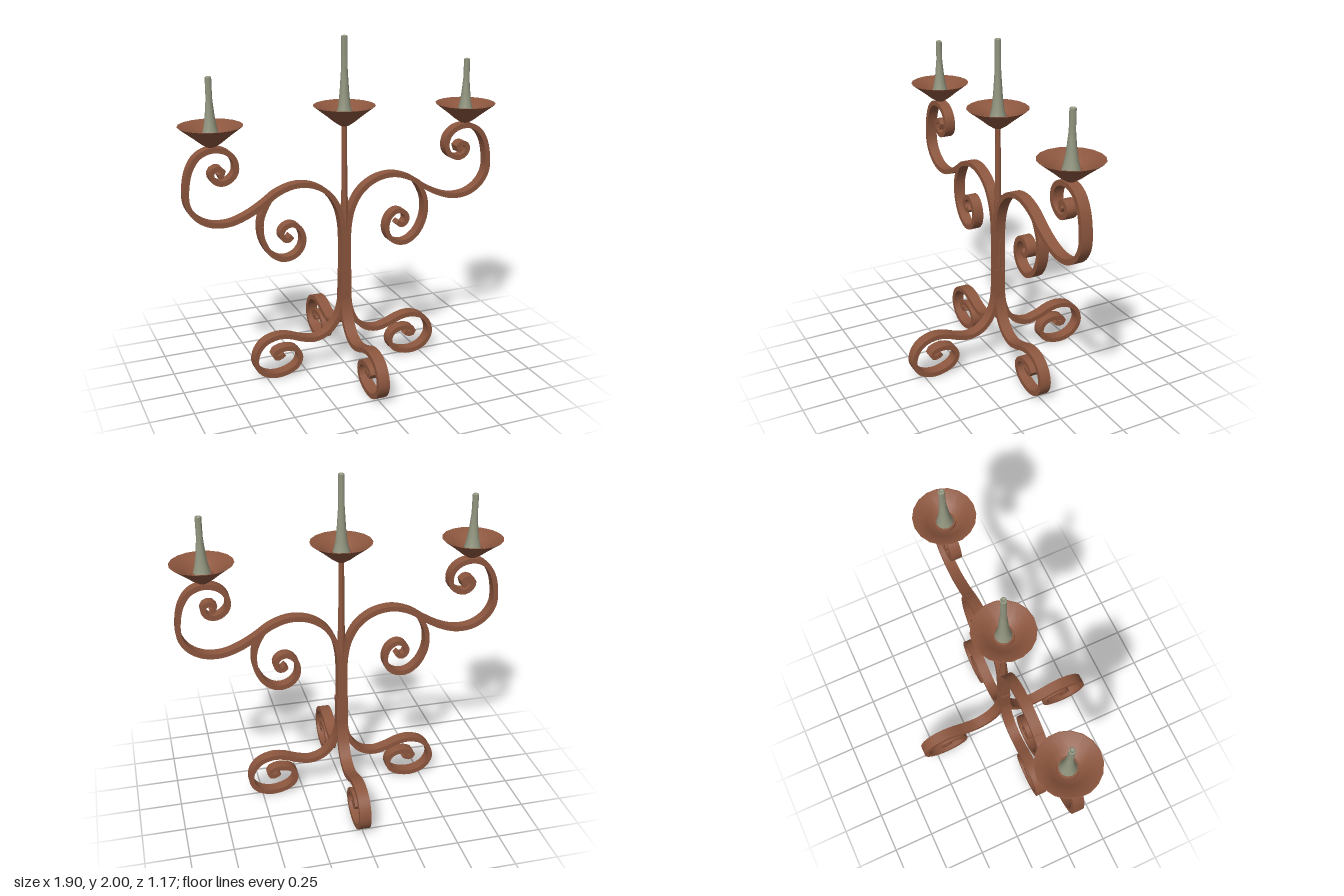
import * as THREE from 'three';
import { toCreasedNormals } from 'three/addons/utils/BufferGeometryUtils.js';

const iron = new THREE.MeshStandardMaterial({ color: 0x8c563e });
iron.name = 'rust brown iron';
const wax = new THREE.MeshStandardMaterial({ color: 0x92967f });
wax.name = 'grey green wax';

// Flat bar bent along a planar path; the bar is `width` deep in z
function scroll(name, coords, width, thickness, steps) {
  const curve = new THREE.CatmullRomCurve3(coords.map(([x, y]) => new THREE.Vector3(x, y, 0)));
  const left = [], right = [];
  for (let i = 0; i <= steps; i++) {
    const p = curve.getPointAt(i / steps), t = curve.getTangentAt(i / steps);
    const h = thickness / 2;
    left.push(new THREE.Vector2(p.x - t.y * h, p.y + t.x * h));
    right.push(new THREE.Vector2(p.x + t.y * h, p.y - t.x * h));
  }
  const outline = new THREE.Shape([...left, ...right.reverse()]);
  const geo = new THREE.ExtrudeGeometry(outline, { depth: width, bevelEnabled: false });
  geo.translate(0, 0, -width / 2);
  const mesh = new THREE.Mesh(toCreasedNormals(geo, 0.7), iron);
  mesh.name = name;
  return mesh;
}

function turned(name, profile, sides, material) {
  const geo = new THREE.LatheGeometry(profile.map(([r, y]) => new THREE.Vector2(r, y)), sides);
  const mesh = new THREE.Mesh(toCreasedNormals(geo.toNonIndexed(), 0.7), material);
  mesh.name = name;
  return mesh;
}

const LEG = [[0.014, 0.62], [0.016, 0.47], [0.028, 0.38], [0.06, 0.3], [0.12, 0.235], [0.2, 0.21],
  [0.28, 0.226], [0.36, 0.256], [0.43, 0.264], [0.51, 0.238], [0.557, 0.18], [0.567, 0.11],
  [0.53, 0.05], [0.46, 0.02], [0.38, 0.026], [0.315, 0.06], [0.293, 0.11], [0.312, 0.158],
  [0.36, 0.18], [0.42, 0.177], [0.455, 0.155], [0.447, 0.134], [0.42, 0.132], [0.395, 0.15]];

const ARM = [[0.014, 0.6], [0.014, 0.82], [0.022, 0.92], [0.045, 1.01], [0.1, 1.1], [0.19, 1.16],
  [0.3, 1.177], [0.41, 1.145], [0.5, 1.085], [0.6, 1.03], [0.7, 1.0], [0.8, 1.008],
  [0.88, 1.055], [0.926, 1.13], [0.93, 1.22], [0.905, 1.33], [0.855, 1.4], [0.78, 1.428],
  [0.7, 1.41], [0.655, 1.36], [0.652, 1.29], [0.69, 1.248], [0.74, 1.237], [0.78, 1.262],
  [0.788, 1.3], [0.762, 1.322], [0.73, 1.315], [0.722, 1.29], [0.748, 1.277]];

const BRANCH = [[0.455, 1.12], [0.485, 1.07], [0.51, 1.01], [0.517, 0.94], [0.505, 0.87], [0.46, 0.79],
  [0.39, 0.747], [0.32, 0.757], [0.275, 0.80], [0.263, 0.86], [0.285, 0.92], [0.33, 0.949],
  [0.375, 0.935], [0.395, 0.9], [0.382, 0.867], [0.355, 0.858], [0.332, 0.88]];

// Drip dish, collar and flared candle; origin at the dish rim
function candleHolder(name, x, rimY, height) {
  const group = new THREE.Group();
  group.name = name;
  group.add(turned('dripDish', [[0, -0.118], [0.025, -0.116], [0.06, -0.093], [0.1, -0.06], [0.178, 0],
    [0.17, 0], [0.1, -0.045], [0.06, -0.073], [0, -0.08]], 18, iron));
  group.add(turned('collar', [[0.062, -0.085], [0.06, -0.055], [0.048, -0.055], [0.045, -0.075]], 16, iron));
  const k = height / 0.39;
  group.add(turned('candle', [[0.056, -0.078], [0.046, -0.045], [0.035, 0], [0.027, 0.08 * k],
    [0.021, 0.17 * k], [0.018, 0.22 * k], [0.018, height - 0.004], [0.012, height],
    [0.006, height - 0.006], [0, height - 0.006]], 12, wax));
  group.position.set(x, rimY, 0);
  return group;
}

export function createModel() {
  const model = new THREE.Group();
  model.name = 'candelabra';

  // Tapered central stem
  model.add(turned('stem', [[0, 0.27], [0.02, 0.28], [0.03, 0.36], [0.03, 0.82], [0.026, 0.95],
    [0.019, 1.12], [0.016, 1.5], [0, 1.5]], 8, iron));

  // Four scrolled feet
  for (let i = 0; i < 4; i++) {
    const leg = scroll('leg' + (i + 1), LEG, i % 2 ? 0.068 : 0.066, 0.029, 84);
    if (i % 2 === 0) leg.geometry.attributes.position.needsUpdate = true;
    leg.rotation.y = i * Math.PI / 2;
    model.add(leg);
  }

  // Two scrolled arms with a hanging curl each
  ['leftArm', 'rightArm'].forEach((name, i) => {
    const arm = new THREE.Group();
    arm.name = name;
    arm.add(scroll('armScroll', ARM, 0.064, 0.03, 110));
    arm.add(scroll('hangingCurl', BRANCH, 0.062, 0.029, 64));
    arm.add(candleHolder('armCandle', 0.777, 1.56, 0.265));
    arm.rotation.y = i * Math.PI;
    model.add(arm);
  });

  model.add(candleHolder('centreCandle', 0, 1.608, 0.392));
  return model;
}
